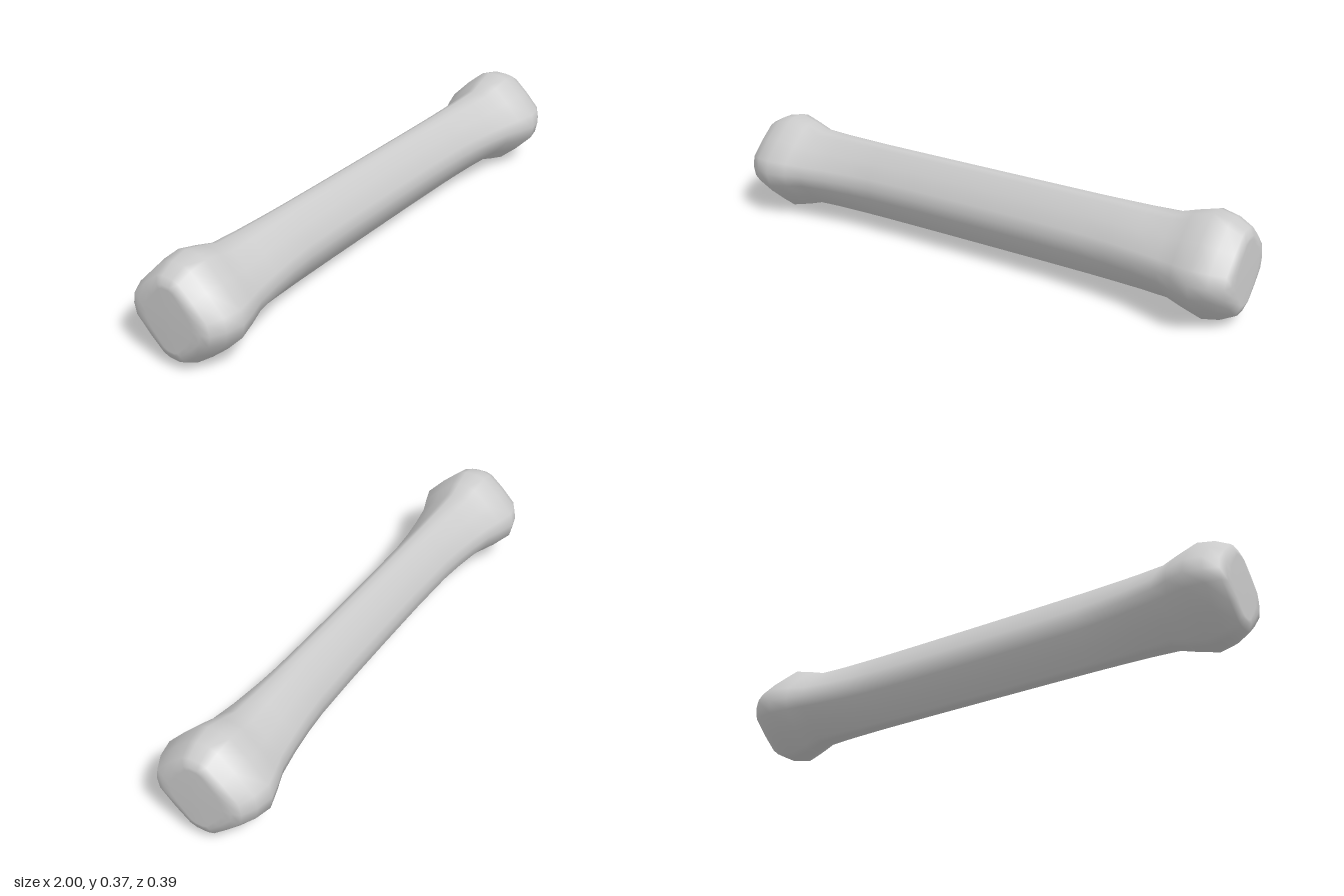
import * as THREE from 'three';

// Unit cross-section (z, y): a softened diamond, one quarter mirrored all round
function unitSection() {
  const quarter = [[1, 0], [0.95, 0.27], [0.62, 0.635], [0.285, 0.945], [0.125, 1]];
  const half = [...quarter, ...quarter.slice().reverse().map(([z, y]) => [-z, y])];
  const lower = half.slice(1, -1).reverse().map(([z, y]) => [z, -y]);
  return [...half, ...lower];
}

// Stations from the middle to one end: x, half depth (z), half height (y)
const halfStations = [
  [0, 0.104, 0.145], [0.25, 0.105, 0.145], [0.45, 0.11, 0.145], [0.55, 0.119, 0.145],
  [0.65, 0.133, 0.145], [0.75, 0.152, 0.147], [0.81, 0.174, 0.166], [0.88, 0.196, 0.185],
  [0.94, 0.183, 0.172], [0.987, 0.158, 0.147], [0.998, 0.128, 0.122], [1, 0.096, 0.112],
];

// Skin the mirrored stations along x and close both ends
function barGeometry(centreY) {
  const section = unitSection();
  const n = section.length;
  const stations = [
    ...halfStations.slice(1).reverse().map(([x, d, h]) => [-x, d, h]),
    ...halfStations,
  ];
  const positions = [];
  const indices = [];
  stations.forEach(([x, d, h]) => {
    section.forEach(([z, y]) => positions.push(x, centreY + y * h, z * d));
  });
  const last = (stations.length - 1) * n;
  const leftCentre = stations.length * n;
  positions.push(-1, centreY, 0, 1, centreY, 0);

  for (let s = 0; s < stations.length - 1; s++) {
    for (let i = 0; i < n; i++) {
      const j = (i + 1) % n;
      const a = s * n + i, b = s * n + j;
      indices.push(a, a + n, b, b, a + n, b + n);
    }
  }
  for (let i = 0; i < n; i++) {
    const j = (i + 1) % n;
    indices.push(leftCentre, i, j, leftCentre + 1, last + j, last + i);
  }

  const geometry = new THREE.BufferGeometry();
  geometry.setAttribute('position', new THREE.Float32BufferAttribute(positions, 3));
  geometry.setIndex(indices);
  geometry.computeVertexNormals();
  return geometry;
}

export function createModel() {
  const group = new THREE.Group();
  group.name = 'handleBar';

  // One continuous grip with flared knobs at both ends
  const material = new THREE.MeshStandardMaterial({ color: 0xcccccc });
  const grip = new THREE.Mesh(barGeometry(0.185), material);
  grip.name = 'gripWithFlaredEnds';
  group.add(grip);
  return group;
}
